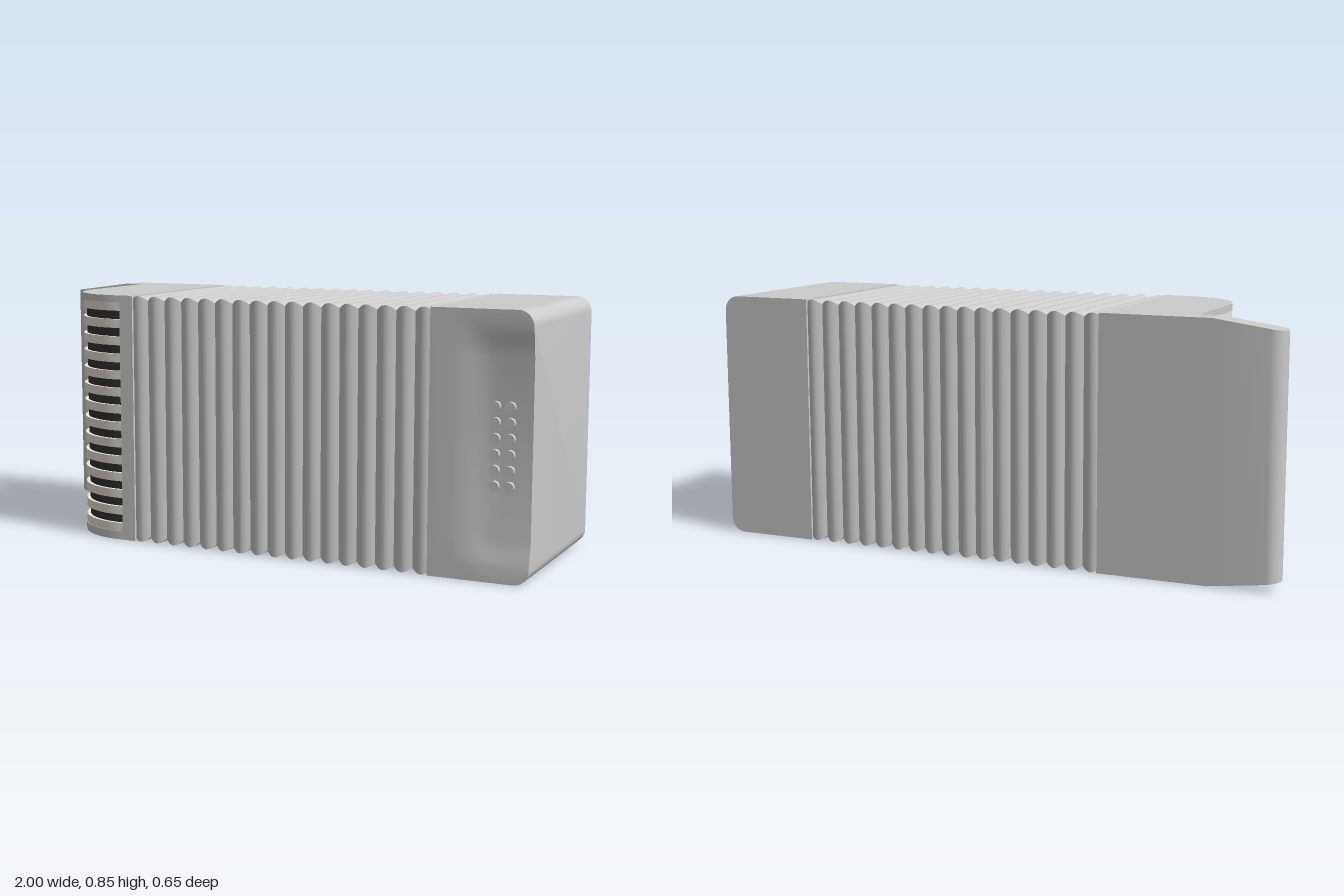
import * as THREE from 'three';
import { toCreasedNormals } from 'three/addons/utils/BufferGeometryUtils.js';

const grey = new THREE.MeshStandardMaterial({ color: 0xcccccc });
const ivory = new THREE.MeshStandardMaterial({ color: 0xeee6da });
const ebony = new THREE.MeshStandardMaterial({ color: 0x333333 });
const H = 0.845, D = 0.325;

function add(parent, name, geometry, material = grey) {
  const mesh = new THREE.Mesh(geometry, material);
  mesh.name = name;
  parent.add(mesh);
  return mesh;
}

// Upright slab with an outline of [x, z] points, from y0 to y1
function slab(points, y0, y1) {
  const shape = new THREE.Shape(points.map(([x, z]) => new THREE.Vector2(x, -z)));
  const g = new THREE.ExtrudeGeometry(shape, { depth: y1 - y0, bevelEnabled: false });
  return g.rotateX(-Math.PI / 2).translate(0, y0, 0);
}

// Closed solid through rings of [x, y, z] points, ordered along x
function loft(rings) {
  const n = rings[0].length, index = [], last = (rings.length - 1) * n;
  for (let i = 0; i < rings.length - 1; i++) {
    for (let j = 0; j < n; j++) {
      const a = i * n + j, d = i * n + (j + 1) % n;
      index.push(a, d, d + n, a, d + n, a + n);
    }
  }
  for (let j = 1; j < n - 1; j++) {
    index.push(0, j + 1, j, last, last + j, last + j + 1);
  }
  const g = new THREE.BufferGeometry();
  g.setAttribute('position', new THREE.Float32BufferAttribute(rings.flat(2), 3));
  g.setIndex(index);
  return toCreasedNormals(g, 0.6);
}

// Curved line of the keyboard side, set in by d, from the front round to the left
function keyLine(d, zEnd) {
  const pts = [[-0.45, D - d]], r = 0.235 - d;
  for (let i = 0; i <= 14; i++) {
    const a = (i / 14) * Math.PI / 2;
    pts.push([-0.47 - r * Math.sin(a), 0.09 + r * Math.cos(a)]);
  }
  pts.push([-0.705 + d, zEnd]);
  return pts;
}

function button(parent, x, y, z0, z1, r) {
  const g = new THREE.CylinderGeometry(r, r, z1 - z0, 16).rotateX(Math.PI / 2);
  add(parent, 'button', g).position.set(x, y, (z0 + z1) / 2);
}

function makeBellows() {
  const rings = [], folds = 17, steps = 6, x0 = -0.41, x1 = 0.68;
  for (let i = 0; i <= folds * steps; i++) {
    const x = x0 + (x1 - x0) * i / (folds * steps);
    const t = 0.016 * (1 - Math.abs(Math.sin(Math.PI * i / steps)));
    rings.push([[x, t, t - D], [x, H - t, t - D], [x, H - t, D - t], [x, t, D - t]]);
  }
  return loft(rings);
}

// End block with rounded outer corners and a shallow hollow around the buttons
function makeEndBlock() {
  const rings = [], r = 0.05;
  const xs = [0.67, 0.75, 0.78, 0.81, 0.84, 0.87, 0.91];
  for (let i = 0; i <= 8; i++) xs.push(0.95 + r * Math.sin(i / 8 * Math.PI / 2));
  const mids = [0.80, 0.77, 0.74, 0.70, 0.13, 0.1, 0.07, 0.052];
  for (const x of xs) {
    const s = Math.min(1, Math.max(0, (x - 0.95) / r));
    const t = r * (1 - Math.sqrt(1 - s * s));
    const ramp = THREE.MathUtils.smoothstep(x, 0.75, 0.87);
    const ring = [[x, t, -D], [x, H - t, -D], [x, H - t, D]];
    for (const y of mids) {
      const dip = Math.min(1, (0.80 - y) / 0.1, Math.max(0, y - 0.052) / 0.078);
      ring.push([x, y, D - 0.016 * ramp * dip]);
    }
    ring.push([x, t, D]);
    rings.push(ring);
  }
  return loft(rings);
}

export function createModel() {
  const model = new THREE.Group();
  model.name = 'accordion';

  add(model, 'bellows', makeBellows());
  add(model, 'bassEnd', makeEndBlock());

  // Treble body: two full lids, a core set in behind the keys, and a frame
  const treble = new THREE.Group();
  treble.name = 'trebleEnd';
  model.add(treble);
  const outline = (d) => [...keyLine(d, -0.235), [-0.705 + d, -D], [-0.45, -D]];
  const crease = (g) => toCreasedNormals(g, 0.5);
  add(treble, 'bottomLid', crease(slab(outline(0), 0, 0.028)));
  add(treble, 'topLid', crease(slab(outline(0), 0.822, H)));
  add(treble, 'core', crease(slab(outline(0.035), 0.028, 0.822)));
  add(treble, 'frame', slab([[-0.45, D], [-0.45, -D], [-0.4, -D], [-0.4, D]], 0, H));

  // Keys wrapped around the curved side
  const keys = new THREE.Group();
  keys.name = 'keyboard';
  model.add(keys);
  const band = (d, zEnd, y0, y1) =>
    crease(slab([...keyLine(d, zEnd), ...keyLine(0.04, zEnd).reverse()], y0, y1));
  const pitch = (0.822 - 0.028) / 13.5;
  for (let i = 0; i < 14; i++) {
    const y = 0.028 + i * pitch;
    add(keys, 'whiteKey', band(0.002, -0.18, y, y + pitch * 0.5), ivory);
    if (i < 13) add(keys, 'blackKey', band(0.014, -0.18, y + pitch * 0.5, y + pitch), ebony);
  }

  // Button board: straight inner part and a tapered part with a rounded outer edge
  const board = new THREE.Group();
  board.name = 'buttonBoard';
  model.add(board);
  const zf = -0.235, rad = (D + zf) / 2, zc = (zf - D) / 2;
  add(board, 'innerBoard', slab([[-0.77, zf], [-0.77, -D], [-0.66, -D], [-0.66, zf]], 0, H));
  const edge = [[-0.77, zf]];
  for (let i = 0; i <= 12; i++) {
    const a = i / 12 * Math.PI;
    edge.push([-1 + rad - rad * Math.sin(a), zc + rad * Math.cos(a)]);
  }
  edge.push([-0.77, -D]);
  const outer = slab(edge, 0, H), p = outer.attributes.position;
  for (let i = 0; i < p.count; i++) {
    const k = 1 - 0.075 * (-0.77 - p.getX(i)) / 0.23;
    p.setY(i, H / 2 + (p.getY(i) - H / 2) * k);
  }
  add(board, 'outerBoard', crease(outer));
  for (const [x, n, y0] of [[-0.93, 10, 0.11], [-0.85, 11, 0.085], [-0.77, 10, 0.11]]) {
    for (let i = 0; i < n; i++) button(board, x, y0 + i * 0.066, zf - 0.01, -0.21, 0.02);
  }

  // Bass buttons
  const bass = new THREE.Group();
  bass.name = 'bassButtons';
  model.add(bass);
  for (const x of [0.882, 0.93]) {
    for (let i = 0; i < 6; i++) button(bass, x, 0.303 + i * 0.0493, 0.3, D, 0.016);
  }
  return model;
}
